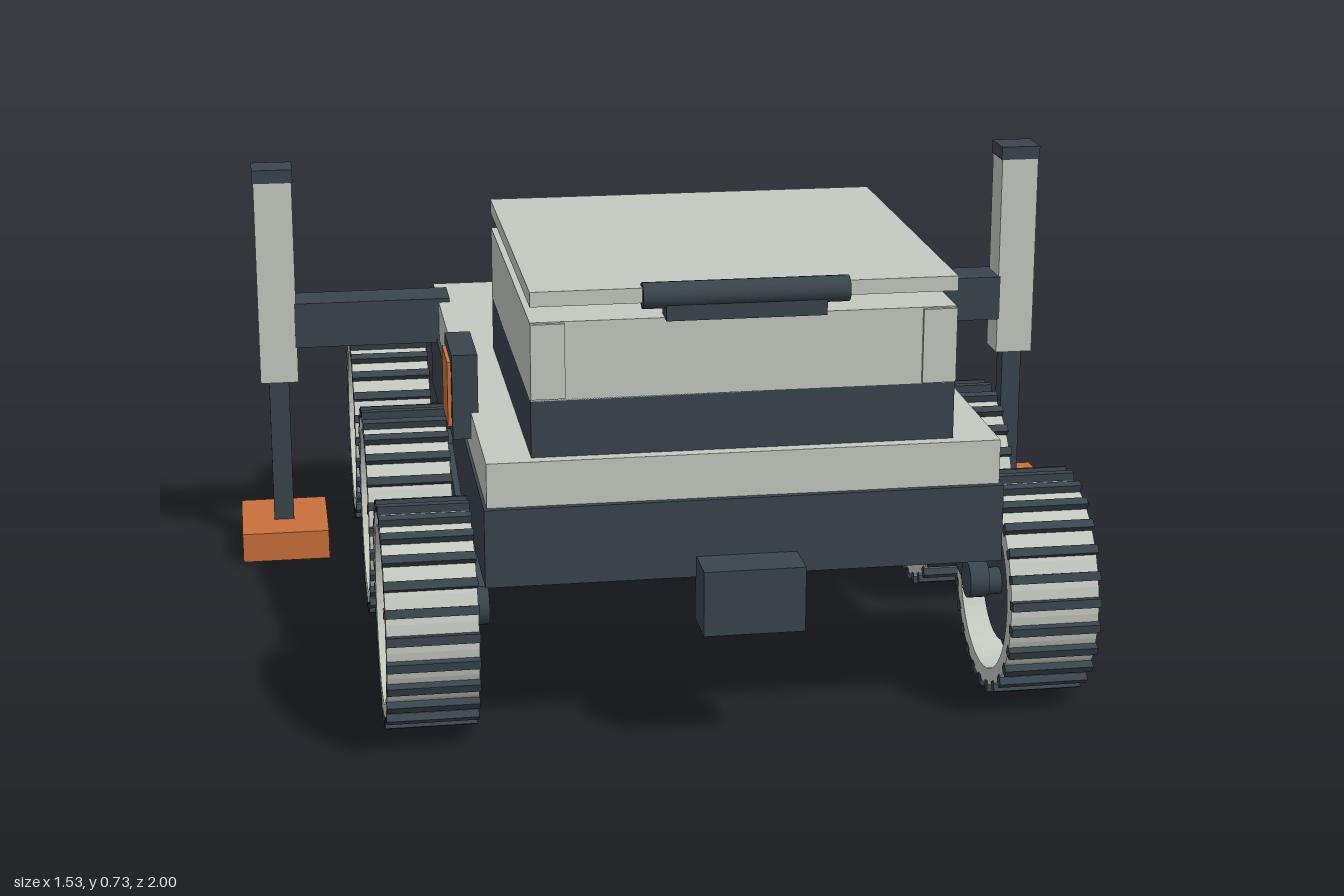
import * as THREE from 'three';

const LIGHT = new THREE.MeshStandardMaterial({ color: 0xc4c9c0 });
const DARK = new THREE.MeshStandardMaterial({ color: 0x39444c });
const ORANGE = new THREE.MeshStandardMaterial({ color: 0xc8703a });

function add(parent, name, geo, mat, x = 0, y = 0, z = 0) {
  const mesh = new THREE.Mesh(geo, mat);
  mesh.name = name;
  mesh.position.set(x, y, z);
  parent.add(mesh);
  return mesh;
}

// box given by its extents along each axis
function box(parent, name, mat, [x0, x1], [y0, y1], [z0, z1]) {
  return add(parent, name, new THREE.BoxGeometry(x1 - x0, y1 - y0, z1 - z0), mat,
    (x0 + x1) / 2, (y0 + y1) / 2, (z0 + z1) / 2);
}

// cylinder lying along x
function xCylinder(parent, name, mat, r, [x0, x1], y, z, sides = 32) {
  const geo = new THREE.CylinderGeometry(r, r, x1 - x0, sides).rotateZ(Math.PI / 2);
  return add(parent, name, geo, mat, (x0 + x1) / 2, y, z);
}

// bar in a plane of constant x, between two [y, z] points
function bar(parent, name, mat, x, [ya, za], [yb, zb], width, thick) {
  const len = Math.hypot(yb - ya, zb - za);
  const mesh = add(parent, name, new THREE.BoxGeometry(width, thick, len), mat, x, (ya + yb) / 2, (za + zb) / 2);
  mesh.rotation.x = -Math.atan2(yb - ya, zb - za);
  return mesh;
}

function createWheel() {
  const wheel = new THREE.Group();
  wheel.name = 'wheel';
  const W = 0.14;
  // open rim
  const ring = new THREE.Shape().absarc(0, 0, 0.166, 0, Math.PI * 2);
  ring.holes.push(new THREE.Path().absarc(0, 0, 0.14, 0, Math.PI * 2, true));
  const rim = new THREE.ExtrudeGeometry(ring, { depth: W, bevelEnabled: false, curveSegments: 24 });
  rim.translate(0, 0, -W / 2).rotateY(Math.PI / 2);
  add(wheel, 'rim', rim, LIGHT);
  // treads
  const treads = 26;
  for (let i = 0; i < treads; i++) {
    const geo = new THREE.BoxGeometry(W + 0.002, 0.018, 0.014).translate(0, 0.169, 0);
    add(wheel, 'tread', geo, DARK).rotation.x = (i / treads) * Math.PI * 2;
  }
  // spokes and hub
  for (let i = 0; i < 8; i++) {
    const geo = new THREE.BoxGeometry(0.04, 0.07, 0.014).translate(0, 0.112, 0);
    add(wheel, 'spoke', geo, DARK).rotation.x = ((i + 0.5) / 8) * Math.PI * 2;
  }
  xCylinder(wheel, 'hub', DARK, 0.096, [-0.045, 0.045], 0, 0);
  xCylinder(wheel, 'hubCap', DARK, 0.024, [0.04, 0.062], 0, 0, 16);
  xCylinder(wheel, 'hubBolt', ORANGE, 0.009, [0.06, 0.066], 0, 0, 12);
  return wheel;
}

// everything mirrored on the two sides, built for +x
function createSide() {
  const side = new THREE.Group();
  side.name = 'side';
  const pivot = [0.29, 0.297];
  xCylinder(side, 'rockerPivot', DARK, 0.03, [0.38, 0.415], ...pivot, 20);
  for (const z of [0.79, 0.297, -0.195]) {
    const wheel = createWheel();
    wheel.position.set(0.482, 0.18, z);
    side.add(wheel);
    bar(side, 'rockerBar', DARK, 0.398, pivot, [0.185, z], 0.025, 0.034);
    xCylinder(side, 'axleBoss', DARK, 0.03, [0.384, 0.415], 0.185, z, 20);
    xCylinder(side, 'axle', DARK, 0.022, [0.4, 0.46], 0.18, z, 16);
  }
  // outrigger with stabiliser foot
  box(side, 'outriggerArm', DARK, [0.375, 0.655], [0.385, 0.467], [-0.1, -0.02]);
  box(side, 'outriggerPost', LIGHT, [0.652, 0.72], [0.32, 0.692], [-0.088, -0.022]);
  box(side, 'postCap', DARK, [0.65, 0.722], [0.69, 0.714], [-0.09, -0.02]);
  box(side, 'outriggerRod', DARK, [0.669, 0.705], [0.05, 0.33], [-0.075, -0.038]);
  box(side, 'outriggerFoot', ORANGE, [0.608, 0.764], [0, 0.053], [-0.155, 0.037]);
  return side;
}

function createArm() {
  const arm = new THREE.Group();
  arm.name = 'arm';
  box(arm, 'armBase', DARK, [-0.165, 0.165], [0.455, 0.53], [-0.175, 0.012]);
  xCylinder(arm, 'shoulder', DARK, 0.078, [-0.155, 0.155], 0.548, -0.1);
  bar(arm, 'upperArm', LIGHT, -0.083, [0.537, -0.1], [0.4, -0.51], 0.085, 0.075);
  xCylinder(arm, 'elbow', DARK, 0.063, [-0.157, 0.157], 0.4, -0.51);
  bar(arm, 'forearm', LIGHT, 0.077, [0.4, -0.51], [0.305, -0.85], 0.085, 0.064);
  // tool head tilted down in line with the forearm
  const head = new THREE.Group();
  head.name = 'toolHead';
  head.position.set(0, 0.308, -0.85);
  head.rotation.x = -0.28;
  xCylinder(head, 'wrist', DARK, 0.05, [-0.149, 0.149], 0, 0);
  box(head, 'headBody', DARK, [-0.149, 0.149], [-0.041, 0.041], [-0.14, 0]);
  box(head, 'headPanel', ORANGE, [-0.117, 0.117], [0.038, 0.044], [-0.119, -0.033]);
  arm.add(head);
  return arm;
}

export function createModel() {
  const model = new THREE.Group();
  model.name = 'rover';

  // chassis and deck
  box(model, 'chassis', DARK, [-0.4, 0.4], [0.267, 0.39], [-0.165, 0.93]);
  box(model, 'deck', LIGHT, [-0.395, 0.395], [0.388, 0.46], [-0.155, 0.92]);
  box(model, 'frontBlock', DARK, [-0.078, 0.078], [0.197, 0.3], [0.92, 1]);
  box(model, 'rearBracket', DARK, [-0.075, 0.075], [0.21, 0.3], [-0.35, -0.15]);
  box(model, 'rearHitch', ORANGE, [-0.087, 0.087], [0.19, 0.24], [-0.407, -0.345]);

  // equipment box with corner panels
  box(model, 'boxBase', DARK, [-0.325, 0.325], [0.458, 0.55], [0.29, 0.9]);
  box(model, 'boxBody', LIGHT, [-0.325, 0.325], [0.548, 0.67], [0.29, 0.9]);
  for (const s of [-1, 1]) {
    const panel = box(model, 'cornerPanel', LIGHT, [0.273, 0.325], [0.552, 0.668], [0.89, 0.906]);
    panel.position.x *= s;
  }

  // raised lid on its hinge
  box(model, 'lid', LIGHT, [-0.325, 0.325], [0.695, 0.718], [0.283, 0.905]);
  box(model, 'hingeBlock', DARK, [-0.122, 0.122], [0.668, 0.7], [0.875, 0.915]);
  xCylinder(model, 'hinge', DARK, 0.02, [-0.157, 0.157], 0.705, 0.9, 20);

  // sensor on the right flank
  box(model, 'sensorCase', DARK, [-0.424, -0.383], [0.417, 0.555], [0.522, 0.66]);
  box(model, 'sensorPanel', ORANGE, [-0.43, -0.42], [0.433, 0.539], [0.54, 0.642]);

  // rear arm
  model.add(createArm());

  // running gear and outriggers, second side turned so faces stay outward
  const left = createSide();
  const right = createSide();
  left.name = 'leftSide';
  right.name = 'rightSide';
  right.scale.x = -1;
  model.add(left, right);
  return model;
}
